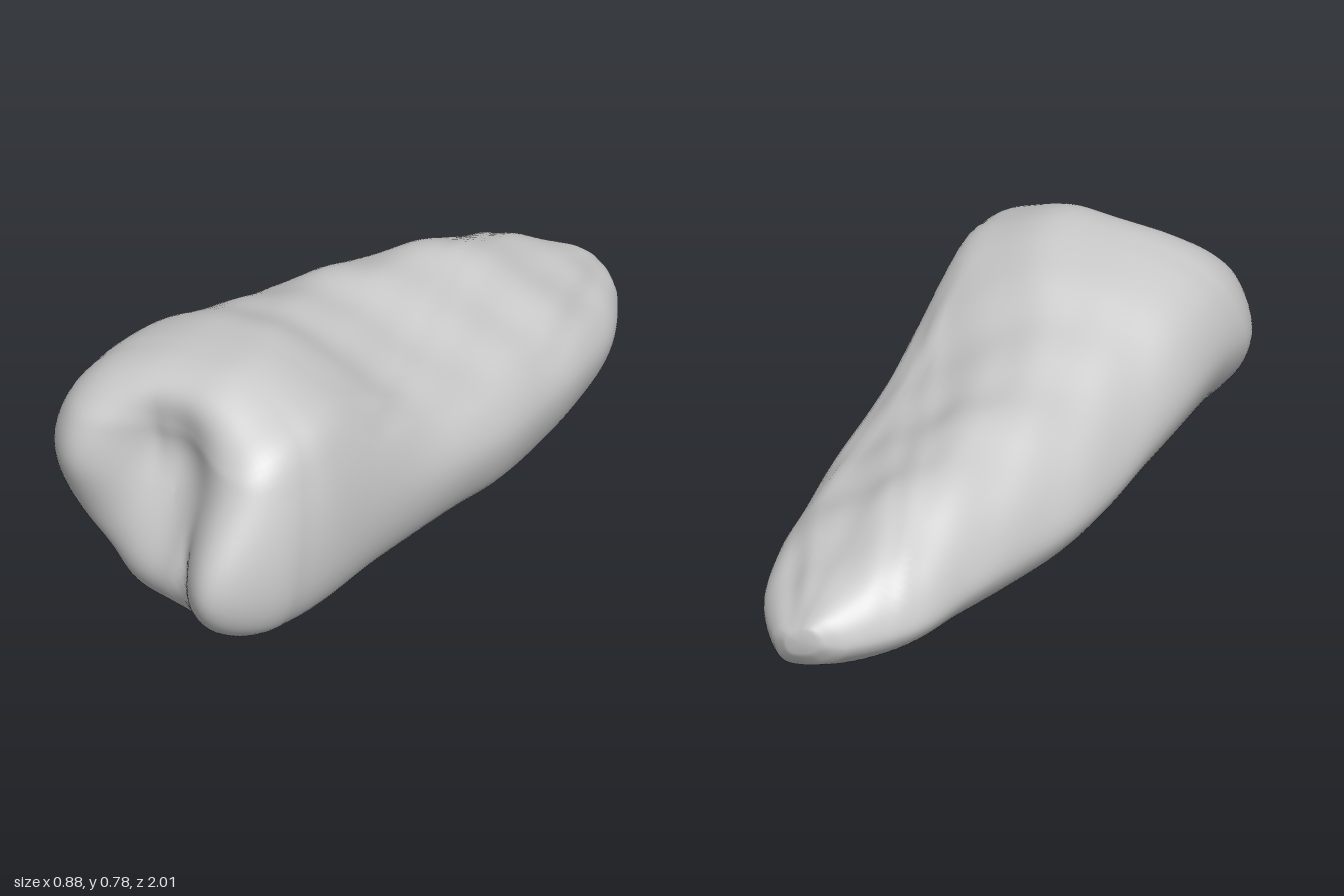
import * as THREE from 'three';

// Body stations, back to front: z, xMin, xMax, yMin, yMax
const STATIONS = [
  [-1, 0.01, 0.11, 0.22, 0.3], [-0.96, -0.06, 0.17, 0.16, 0.335], [-0.8, -0.2, 0.28, 0.1, 0.42],
  [-0.6, -0.265, 0.34, 0.06, 0.51], [-0.4, -0.32, 0.37, 0.03, 0.56], [-0.2, -0.38, 0.4, 0.03, 0.595],
  [0, -0.41, 0.41, 0.05, 0.63], [0.2, -0.42, 0.415, 0.06, 0.68], [0.4, -0.44, 0.425, 0.07, 0.75],
  [0.6, -0.44, 0.435, 0.07, 0.775], [0.7, -0.44, 0.43, 0.07, 0.75], [0.82, -0.43, 0.415, 0.08, 0.69],
];

// Cross-sections in a unit box, clockwise from the -x side; the back one is ridged towards -x
const FRONT = [[0, 0.59], [0.05, 0.78], [0.14, 0.89], [0.3, 0.965], [0.47, 0.995], [0.62, 1], [0.78, 0.93], [0.9, 0.85],
  [0.965, 0.68], [1, 0.42], [0.985, 0.19], [0.93, 0.07], [0.81, 0], [0.52, 0], [0.38, 0.03], [0.27, 0.14], [0.15, 0.25], [0.04, 0.42]];
const BACK = [[0, 0.53], [0.04, 0.72], [0.12, 0.87], [0.23, 0.97], [0.35, 1], [0.48, 0.96], [0.62, 0.86], [0.76, 0.76],
  [0.92, 0.62], [1, 0.43], [0.985, 0.23], [0.92, 0.08], [0.81, 0], [0.6, 0.02], [0.42, 0.08], [0.28, 0.15], [0.14, 0.27], [0.04, 0.4]];

const SIDES = 88, BODY = 64, CAP = 26;

const sampleLoop = (pts) => new THREE.CatmullRomCurve3(
  pts.map(([x, y]) => new THREE.Vector3(x, y, 0)), true, 'centripetal');

// Smooth interpolation of the station table at z
function stationAt(z) {
  const last = STATIONS.length - 1;
  let i = 0;
  while (i < last - 1 && STATIONS[i + 1][0] < z) i++;
  const a = STATIONS[i], b = STATIONS[i + 1];
  const t = THREE.MathUtils.clamp((z - a[0]) / (b[0] - a[0]), 0, 1);
  const slope = (k, c) => {
    const p = STATIONS[Math.max(k - 1, 0)], n = STATIONS[Math.min(k + 1, last)];
    return (n[c] - p[c]) / (n[0] - p[0]);
  };
  const h = b[0] - a[0], t2 = t * t, t3 = t2 * t;
  return [1, 2, 3, 4].map((c) => (2 * t3 - 3 * t2 + 1) * a[c] + (t3 - 2 * t2 + t) * h * slope(i, c)
    + (3 * t2 - 2 * t3) * b[c] + (t3 - t2) * h * slope(i + 1, c));
}

const bump = (x, y, cx, cy, rx, ry) => Math.exp(-(((x - cx) / rx) ** 2) - ((y - cy) / ry) ** 2);

// Depth of the hollowed front face
function faceDepth(x, y) {
  return 0.84
    + 0.17 * bump(x, y, 0.27, 0.28, 0.15, 0.25)   // large lobe
    + 0.07 * bump(x, y, -0.28, 0.48, 0.13, 0.17)  // small lobe
    + 0.05 * bump(x, y, -0.02, 0.2, 0.15, 0.13)   // lower lip
    - 0.09 * bump(x, y, 0, 0.54, 0.15, 0.17)      // hollow
    - 0.02 * bump(x, y, 0.12, 0.25, 0.03, 0.14)   // lower crease
    - 0.015 * bump(x, y, -0.09, 0.57, 0.03, 0.1)  // upper crease
    - 0.25 * Math.max(0, y - 0.6);
}

// Weathered steps and lumps of the upper surface
function weathering(x, z) {
  const creases = [-0.05 + 0.42 * (z + 0.6), Math.min(0.1 + 0.45 * (z + 0.95), 0.31)];
  let dy = 0.004 * Math.sin(z * 21 + x * 9) + 0.004 * Math.sin(x * 31 - z * 13);
  for (const c of creases) {
    const d = (x - c) / 0.03;
    dy -= 0.012 * d * Math.exp(-d * d);
  }
  return dy;
}

function bodyGeometry() {
  const front = sampleLoop(FRONT), back = sampleLoop(BACK);
  const fl = [], bl = [];
  for (let j = 0; j < SIDES; j++) {
    fl.push(front.getPoint(j / SIDES));
    bl.push(back.getPoint(j / SIDES));
  }
  const pos = [], idx = [], rim = [];

  // Tapering body, closed at the tip by a collapsed ring
  for (let k = -1; k <= BODY; k++) {
    const s = Math.pow(Math.max(k, 0) / BODY, 1.25);
    for (let j = 0; j < SIDES; j++) {
      const rimZ = 0.78 - 0.17 * fl[j].y ** 2;
      const z = -1 + s * (rimZ + 1);
      const [x0, x1, y0, y1] = stationAt(z);
      const blend = THREE.MathUtils.smoothstep(z, -0.1, 0.65);
      const u = THREE.MathUtils.lerp(bl[j].x, fl[j].x, blend);
      const v = THREE.MathUtils.lerp(bl[j].y, fl[j].y, blend);
      let x = x0 + u * (x1 - x0), y = y0 + v * (y1 - y0);
      const fade = THREE.MathUtils.smoothstep(z, -1, -0.8) * (1 - THREE.MathUtils.smoothstep(z, 0.2, 0.55));
      y += weathering(x, z) * fade * THREE.MathUtils.smoothstep(v, 0.45, 0.75);
      if (k < 0) { x = 0.06; y = 0.26; }
      pos.push(x, y, z);
      if (k === BODY) rim.push([x, y, z]);
    }
  }

  // Rounded front rim running in to the hollow
  const cx = 0, cy = 0.42;
  for (let k = 1; k <= CAP; k++) {
    const t = Math.cos((k / CAP) * Math.PI / 2);
    for (const [rx, ry, rz] of rim) {
      const x = cx + t * (rx - cx), y = cy + t * (ry - cy);
      pos.push(x, y, rz + (faceDepth(x, y) - rz) * Math.sqrt(1 - t ** 8));
    }
  }

  const rings = pos.length / 3 / SIDES;
  for (let i = 0; i < rings - 1; i++) {
    for (let j = 0; j < SIDES; j++) {
      const n = (j + 1) % SIDES;
      const a = i * SIDES + j, b = i * SIDES + n, c = a + SIDES, d = b + SIDES;
      idx.push(a, c, b, b, c, d);
    }
  }
  const g = new THREE.BufferGeometry();
  g.setAttribute('position', new THREE.Float32BufferAttribute(pos, 3));
  g.setIndex(idx);
  g.computeVertexNormals();
  return g;
}

export function createModel() {
  const group = new THREE.Group();
  group.name = 'fossilTooth';
  const material = new THREE.MeshStandardMaterial({ color: 0xcccccc, roughness: 0.8 });

  const body = new THREE.Mesh(bodyGeometry(), material);
  body.name = 'toothBody';
  group.add(body);

  // Small chip on the underside
  const chip = new THREE.Mesh(new THREE.ConeGeometry(0.025, 0.05, 5), material);
  chip.name = 'undersideChip';
  chip.rotation.x = Math.PI;
  chip.position.set(0.19, 0.025, -0.25);
  group.add(chip);
  return group;
}
